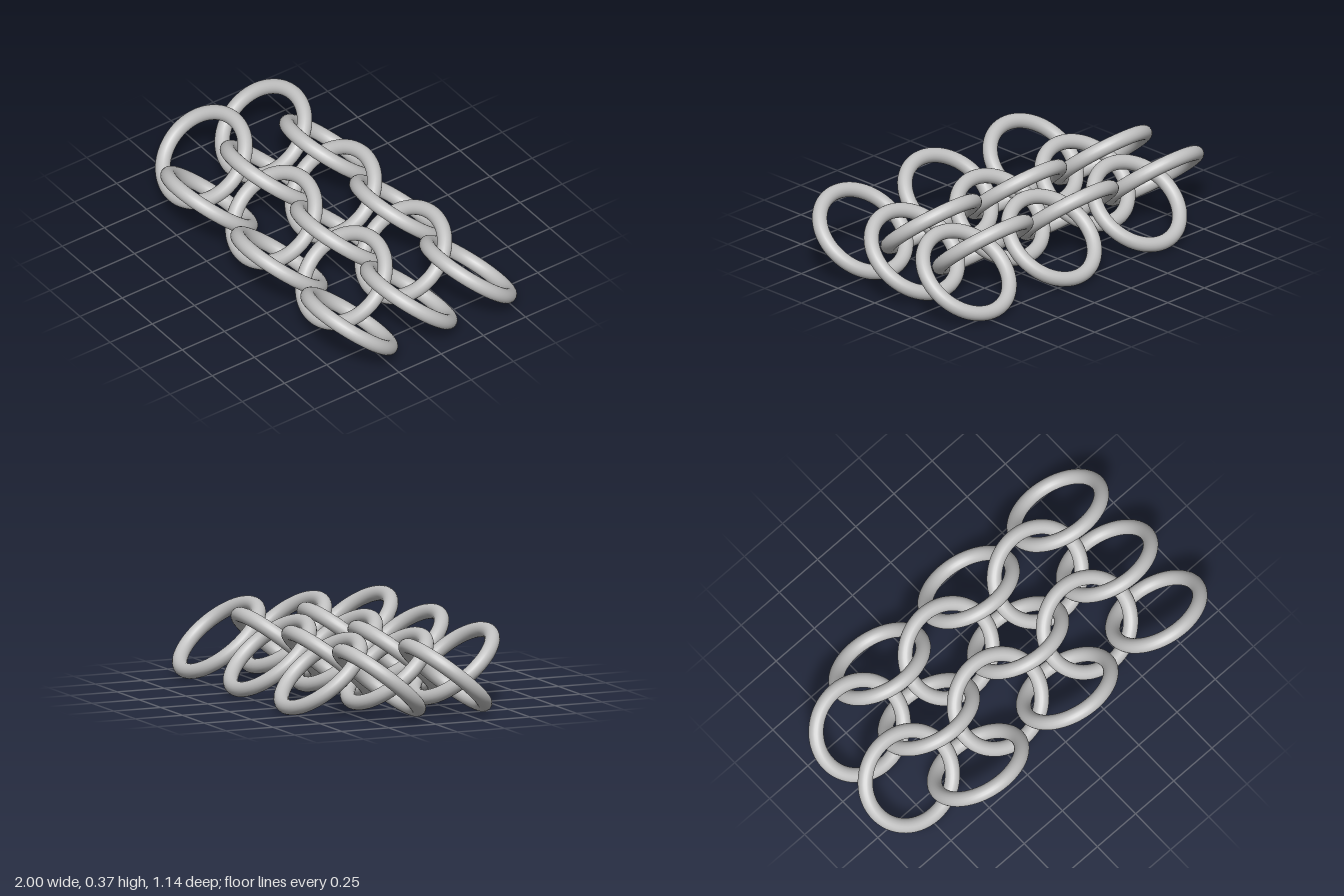
import * as THREE from 'three';

// Woven chain mail: columns of rings, leaning alternately forward and back
export function createModel() {
  const group = new THREE.Group();
  group.name = 'chainMail';
  const steel = new THREE.MeshStandardMaterial({ color: 0xc0c0c0 });
  steel.name = 'steel';

  const R = 0.234, tube = 0.037;
  const lean = THREE.MathUtils.degToRad(50);
  const pitchX = (2 - 2 * (R + tube)) / 5;
  const pitchZ = 0.352;
  const centreY = R * Math.cos(lean) + tube;
  const ringGeometry = new THREE.TorusGeometry(R, tube, 20, 64);

  for (let col = 0; col < 6; col++) {
    // Even columns hold two rings, odd columns three, offset by half a pitch
    const forward = col % 2 === 1;
    const count = forward ? 3 : 2;
    for (let row = 0; row < count; row++) {
      const ring = new THREE.Mesh(ringGeometry, steel);
      ring.name = `ring_column${col + 1}_row${row + 1}`;
      ring.position.set((col - 2.5) * pitchX, centreY, (row - (count - 1) / 2) * pitchZ);
      ring.rotation.x = forward ? lean : -lean;
      group.add(ring);
    }
  }
  return group;
}
